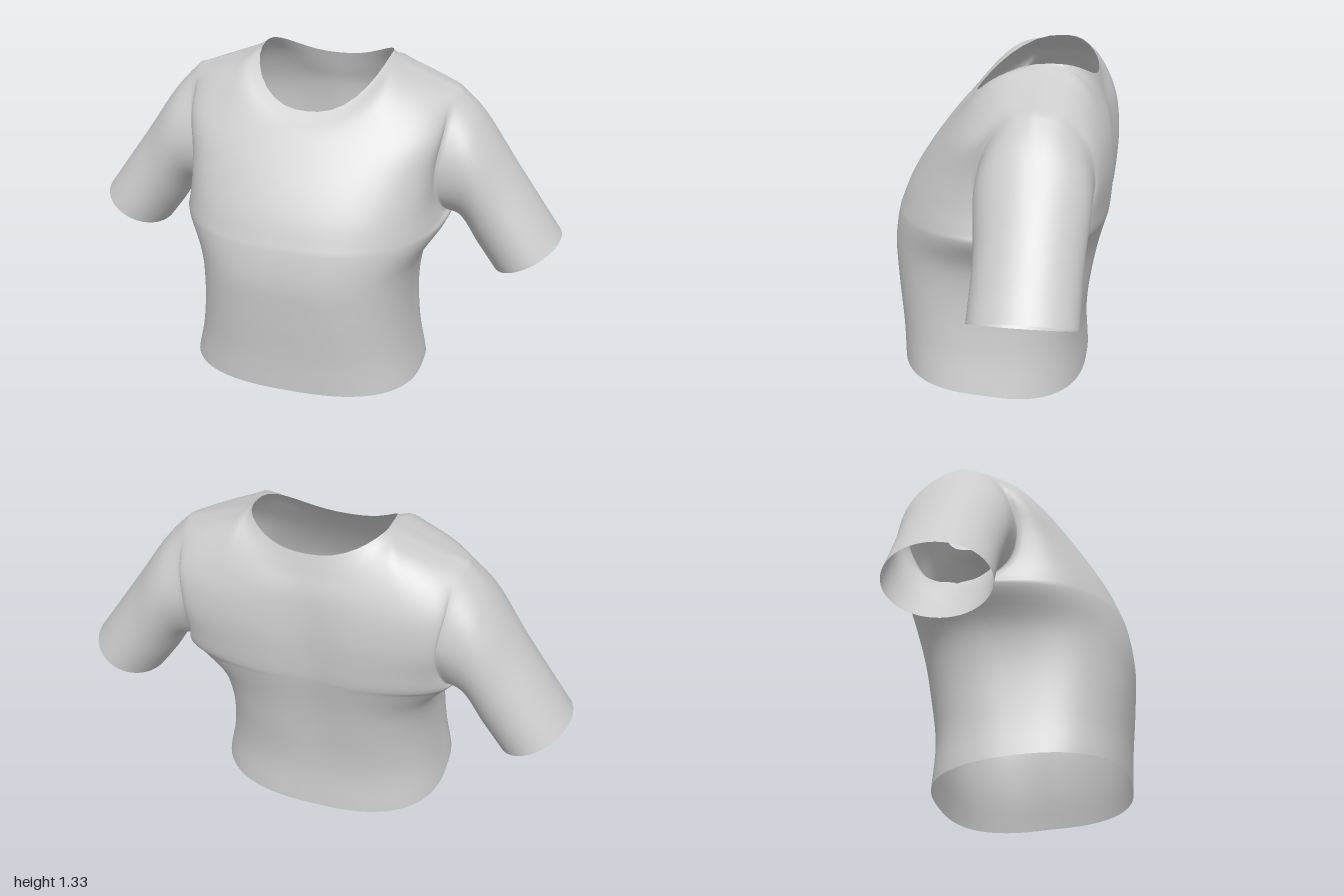
import * as THREE from 'three';
import { mergeVertices } from 'three/addons/utils/BufferGeometryUtils.js';

const COLS = 40;      // columns across each panel
const STEP = 5;       // rows between two levels
const NECK = 0.45;    // column position of the neck corner
const ARMPIT = 4;     // index of the armpit level

// Body levels: y front, y side, y back, half width,
// side z of front panel, side z of back panel, front z, back z, roundness, spine groove
const LEVELS = [
  [0.058, 0.038, 0.005, 0.49, 0.03, 0.03, 0.42, -0.345, 2.6, 0],
  [0.2, 0.2, 0.2, 0.455, 0.03, 0.03, 0.425, -0.335, 2.7, 0],
  [0.42, 0.42, 0.42, 0.438, 0, 0, 0.443, -0.365, 2.8, 0.01],
  [0.57, 0.57, 0.57, 0.464, -0.06, -0.06, 0.45, -0.393, 2.7, 0.015],
  [0.7, 0.7, 0.7, 0.55, -0.165, -0.165, 0.43, -0.425, 2.5, 0.02],
  [0.735, 0.735, 0.735, 0.53, -0.06, -0.275, 0.418, -0.433, 2.4, 0.022],
  [0.82, 0.82, 0.82, 0.505, 0.02, -0.34, 0.383, -0.442, 2.3, 0.025],
  [0.95, 0.95, 0.95, 0.5, 0.045, -0.385, 0.305, -0.446, 2.2, 0.027],
  [1.1, 1.1, 1.1, 0.52, 0, -0.35, 0.19, -0.425, 2.2, 0.02],
];

// Sleeve rings: top x, top y, bottom x, bottom y, front z, back z
const SLEEVE = [
  [0.64, 1.125, 0.585, 0.685, 0.04, -0.385],
  [0.8, 0.9, 0.665, 0.565, 0.022, -0.372],
  [1.0, 0.62, 0.735, 0.47, 0.025, -0.37],
];

// Unit superellipse point; w runs -1..1 from one side to the other
function arc(w, n) {
  const s = Math.sin(w * Math.PI / 2), c = Math.max(0, Math.cos(w * Math.PI / 2));
  const r = Math.pow(Math.pow(Math.abs(s), n) + Math.pow(c, n), -1 / n);
  return [s * r, c * r];
}

// Top edge: neckline in the middle, shoulder seams outside it
function topEdge(u, front) {
  const a = Math.abs(u);
  if (a >= NECK - 1e-6) {
    const t = (a - NECK) / (1 - NECK);
    const p = new THREE.Vector3(
      Math.sign(u) * (0.265 + 0.285 * t), 1.33 - 0.11 * Math.pow(Math.max(0, t), 0.8), -0.19 + 0.02 * t);
    return [p, 0];
  }
  const [s, c] = arc(u / NECK, 2.4);
  return [new THREE.Vector3(
    0.265 * s,
    1.33 - (front ? 0.165 * c * c : 0.08 * c * c * c),
    -0.19 + (front ? 0.31 : -0.17) * c), c];
}

// One column of a panel, from the hem to the top edge
function column(u, front) {
  const pts = LEVELS.map(([yF, yS, yB, w, sF, sB, zF, zB, n, groove]) => {
    const [s, c] = arc(u, n);
    const side = front ? sF : sB, mid = front ? zF : zB, x = w * s;
    const spine = front ? 0 : groove * Math.exp(-((x / 0.12) ** 2));
    return new THREE.Vector3(x, yS + ((front ? yF : yB) - yS) * c, side + (mid - side) * c + spine);
  });
  const [top, c] = topEdge(u, front);
  const last = pts[pts.length - 1];
  // Round the cloth over the shoulder
  const ky = 0.78 - 0.28 * c, kz = 0.45 + 0.05 * c;
  pts.push(new THREE.Vector3(
    last.x + (top.x - last.x) * 0.55, last.y + (top.y - last.y) * ky, last.z + (top.z - last.z) * kz), top);
  return new THREE.CatmullRomCurve3(pts).getPoints((pts.length - 1) * STEP);
}

// Triangles between neighbouring lines of points
function skin(out, lines, flip) {
  for (let i = 0; i + 1 < lines.length; i++) {
    for (let j = 0; j + 1 < lines[i].length; j++) {
      const a = lines[i][j], b = lines[i + 1][j], c = lines[i + 1][j + 1], d = lines[i][j + 1];
      if (flip) out.push(a, c, b, a, d, c);
      else out.push(a, b, c, a, c, d);
    }
  }
}

function sleeveLines(front, back) {
  // Armhole loop: up the front edge, down the back edge
  const start = ARMPIT * STEP;
  const loop = [...front.slice(start), ...back.slice(start, -1).reverse()];
  const sign = Math.sign(loop[0].x);
  const paths = loop.map((p) => {
    const f = Math.atan2((p.z + 0.17) / 0.22, (p.y - 0.96) / 0.26);
    const k = Math.cos(f), s = Math.sin(f);
    const pts = SLEEVE.map(([tx, ty, bx, by, zF, zB]) => new THREE.Vector3(
      sign * ((tx + bx) / 2 + (tx - bx) / 2 * k),
      (ty + by) / 2 + (ty - by) / 2 * k,
      (zF + zB) / 2 + (zF - zB) / 2 * s));
    return new THREE.CatmullRomCurve3([p, ...pts]).getPoints(18);
  });
  return paths[0].map((_, i) => paths.map((path) => path[i]));
}

export function createModel() {
  const group = new THREE.Group();
  group.name = 'shirt';
  const cloth = new THREE.MeshStandardMaterial({ color: 0xcccccc, side: THREE.DoubleSide });
  cloth.name = 'light grey cloth';

  const front = [], back = [];
  for (let i = 0; i <= COLS; i++) {
    const u = -1 + 2 * i / COLS;
    front.push(column(u, true));
    back.push(column(u, false));
  }
  // Join the side seams below the armpits
  for (const i of [0, COLS]) {
    for (let j = 0; j <= ARMPIT * STEP; j++) {
      front[i][j].lerp(back[i][j], 0.5);
      back[i][j].copy(front[i][j]);
    }
  }

  // All parts share one set of vertices so the shading flows over the seams
  const tris = [], ranges = [];
  const part = (name, build) => {
    const from = tris.length;
    build();
    ranges.push([name, from, tris.length]);
  };
  part('frontPanel', () => skin(tris, front, false));
  part('backPanel', () => skin(tris, back, true));
  part('leftSleeve', () => skin(tris, sleeveLines(front[COLS], back[COLS]), false));
  part('rightSleeve', () => skin(tris, sleeveLines(front[0], back[0]), true));

  const whole = mergeVertices(new THREE.BufferGeometry().setFromPoints(tris));
  whole.computeVertexNormals();
  const index = Array.from(whole.index.array);
  for (const [name, from, to] of ranges) {
    const geometry = new THREE.BufferGeometry();
    geometry.setAttribute('position', whole.attributes.position);
    geometry.setAttribute('normal', whole.attributes.normal);
    geometry.setIndex(index.slice(from, to));
    const mesh = new THREE.Mesh(geometry, cloth);
    mesh.name = name;
    group.add(mesh);
  }
  return group;
}
